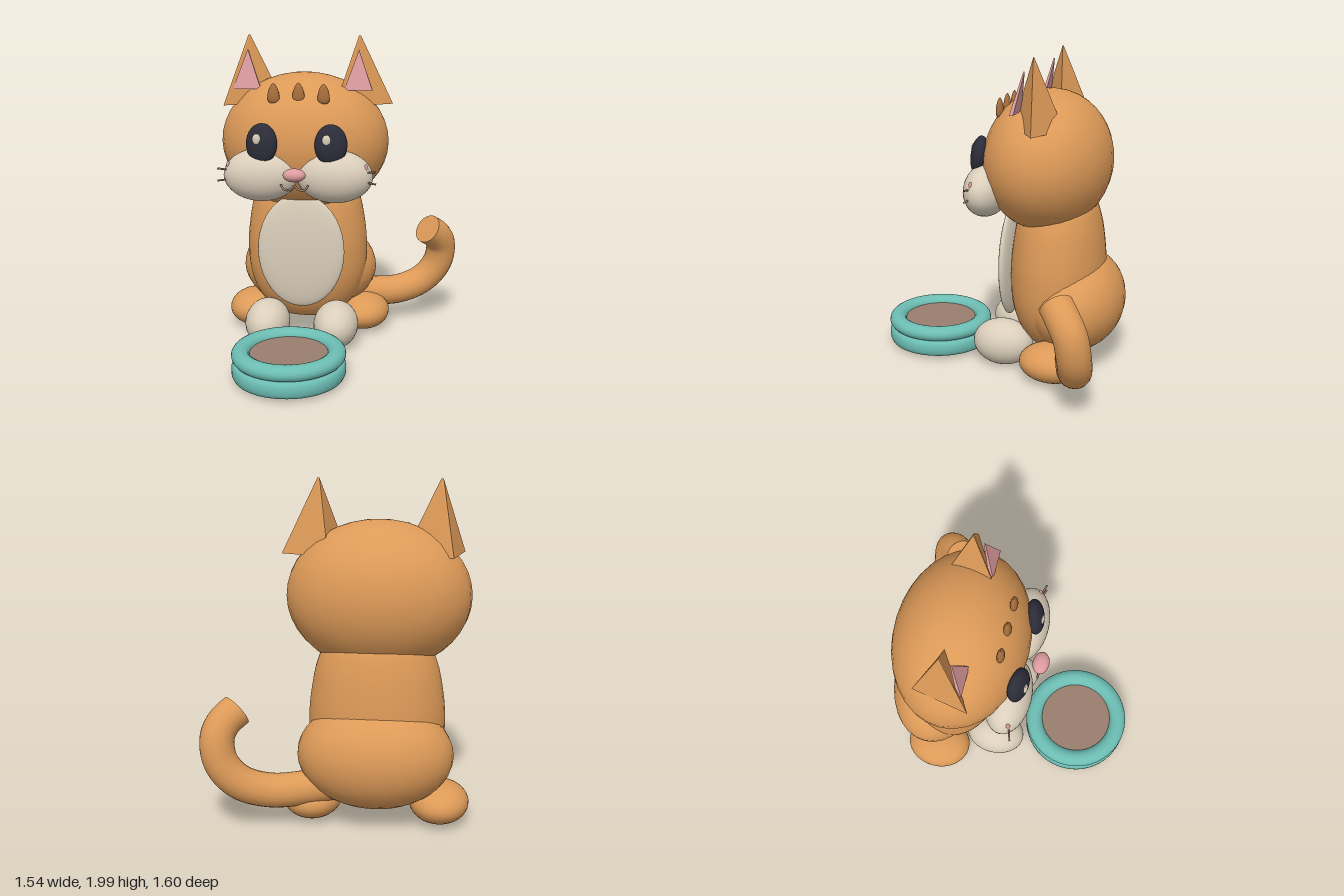
import * as THREE from 'three';
import { ConvexGeometry } from 'three/addons/geometries/ConvexGeometry.js';

const mat = (name, color) => {
  const m = new THREE.MeshStandardMaterial({ color });
  m.name = name;
  return m;
};
const V = (x, y, z) => new THREE.Vector3(x, y, z);

export function createModel() {
  const orange = mat('orange fur', 0xdd9a58);
  const cream = mat('cream fur', 0xdbcfbb);
  const pink = mat('pink skin', 0xdd9c9f);
  const dark = mat('dark eye', 0x2d2d3a);
  const teal = mat('teal bowl', 0x6cbdb3);
  const brown = mat('brown food', 0x9a7e6d);
  const stripe = mat('stripe brown', 0xa86f3c);

  const model = new THREE.Group();
  model.name = 'sittingCatWithBowl';
  // the cat sits off centre because of its tail; parts are placed from its own midline
  const cat = new THREE.Group();
  cat.name = 'cat';
  cat.position.x = -0.225;
  model.add(cat);

  const add = (name, geo, material, parent = cat) => {
    const m = new THREE.Mesh(geo, material);
    m.name = name;
    parent.add(m);
    return m;
  };
  const ball = (name, material, pos, radii, rot = [0, 0, 0], w = 32, h = 20) => {
    const m = add(name, new THREE.SphereGeometry(1, w, h), material);
    m.position.set(...pos);
    m.scale.set(...radii);
    m.rotation.set(...rot);
    return m;
  };
  const lathe = (pts, smooth, seg = 40) => {
    let p = pts.map(([x, y]) => new THREE.Vector2(x, y));
    if (smooth) p = new THREE.SplineCurve(p).getPoints(smooth).map(q => q.setX(Math.max(0, q.x)));
    return new THREE.LatheGeometry(p, seg);
  };
  const tube = (name, pts, r, material, seg = 12, sides = 8) =>
    add(name, new THREE.TubeGeometry(new THREE.CatmullRomCurve3(pts), seg, r, sides), material);

  // torso, hips, belly
  const torso = add('torso', lathe([[0, 0.12], [0.2, 0.15], [0.32, 0.26], [0.385, 0.42], [0.4, 0.6],
    [0.388, 0.77], [0.345, 0.97], [0.26, 1.1], [0, 1.15]], 32), orange);
  torso.scale.z = 0.75;
  torso.position.z = -0.37;
  ball('hips', orange, [0, 0.43, -0.49], [0.455, 0.32, 0.31]);
  ball('belly', cream, [0, 0.65, -0.06], [0.28, 0.375, 0.05]);

  // head
  ball('head', orange, [0, 1.33, -0.29], [0.54, 0.44, 0.4]);

  for (const s of [-1, 1]) {
    const side = s > 0 ? 'left' : 'right';
    ball(side + 'FrontPaw', cream, [s * 0.225, 0.157, -0.065], [0.145, 0.15, 0.195]);
    ball(side + 'HindFoot', orange, [s * 0.375, 0.13, -0.43], [0.175, 0.12, 0.21]);
    ball(side + 'Cheek', cream, [s * 0.23, 1.165, 0.04], [0.235, 0.165, 0.138]);
    ball(side + 'Eye', dark, [s * 0.213, 1.37, 0.095], [0.1, 0.125, 0.055], [-0.12, s * 0.2, 0]);
    ball(side + 'EyeGlint', cream, [s * 0.213 - 0.022, 1.405, 0.143], [0.027, 0.034, 0.012], [0, 0, 0], 10, 8);
    ball(side + 'Blush', pink, [s * 0.425, 1.225, 0.083], [0.014, 0.028, 0.014], [0, 0, 0], 10, 8);

    // whiskers
    [[1.195, 1.213], [1.147, 1.136]].forEach(([y0, y1], i) =>
      tube(side + 'Whisker' + (i + 1), [V(s * 0.38, y0, 0.075), V(s * 0.49, y1, 0.108)], 0.006, brown, 1, 6));

    // half of the smile
    tube(side + 'Mouth', [V(0, 1.135, 0.175), V(s * 0.018, 1.112, 0.175), V(s * 0.045, 1.103, 0.178),
      V(s * 0.07, 1.113, 0.176), V(s * 0.084, 1.138, 0.172)], 0.007, brown);

    // three-sided pointed ear with a pink inner panel
    const ear = new THREE.Group();
    ear.name = side + 'Ear';
    ear.position.set(s * 0.352, 0, -0.28);
    cat.add(ear);
    add(side + 'EarShell', new ConvexGeometry([V(-0.006, 2, 0), V(0.006, 2, 0),
      V(0.21, 1.57, -0.045), V(-0.142, 1.57, 0.16), V(-0.075, 1.57, -0.17)]), orange, ear);
    add(side + 'InnerEar', new ConvexGeometry([V(0, 1.915, 0.06), V(-0.088, 1.67, 0.118), V(0.09, 1.67, 0.118),
      V(0, 1.915, 0.052), V(-0.088, 1.67, 0.095), V(0.09, 1.67, 0.095)]), pink, ear);
  }
  ball('nose', pink, [0, 1.197, 0.183], [0.07, 0.041, 0.05], [0, 0, 0], 20, 14);

  // teardrop forehead marks
  for (const i of [-1, 0, 1]) {
    const m = add('foreheadMark', lathe([[0, -0.065], [0.03, -0.05], [0.038, -0.02], [0.03, 0.025],
      [0.014, 0.055], [0, 0.067]], 12, 14), stripe);
    m.scale.z = 0.6;
    m.position.set(i * 0.155, i ? 1.66 : 1.665, -0.016);
  }

  // tail with a flat cut end
  const path = [V(0.15, 0.27, -0.5), V(0.38, 0.23, -0.55), V(0.6, 0.225, -0.61), V(0.77, 0.29, -0.66),
    V(0.87, 0.41, -0.675), V(0.893, 0.55, -0.655), V(0.862, 0.63, -0.607), V(0.8, 0.685, -0.55)];
  const tail = tube('tail', path, 0.1, orange, 48, 20);
  const end = add('tailEnd', new THREE.CircleGeometry(0.1, 20), orange);
  end.position.copy(path[path.length - 1]);
  const dir = tail.geometry.parameters.path.getTangentAt(1);
  end.quaternion.setFromUnitVectors(V(0, 0, 1), dir);

  // food bowl: rounded base, rolled rim, food
  const bowl = new THREE.Group();
  bowl.name = 'foodBowl';
  bowl.position.set(-0.225, 0, 0.455);
  model.add(bowl);
  add('bowlBottom', new THREE.CircleGeometry(0.315, 48).rotateX(Math.PI / 2).translate(0, 0.022, 0), teal, bowl);
  add('bowlBase', lathe([[0.315, 0.022], [0.333, 0.03], [0.343, 0.05], [0.345, 0.075], [0.343, 0.1],
    [0.333, 0.12], [0.31, 0.13], [0.24, 0.13]], 0, 48), teal, bowl);
  const rim = add('bowlRim', new THREE.TorusGeometry(0.289, 0.056, 16, 48).rotateX(Math.PI / 2), teal, bowl);
  rim.scale.y = 0.85;
  rim.position.y = 0.168;
  add('food', new THREE.CylinderGeometry(0.245, 0.245, 0.04, 48).translate(0, 0.155, 0), brown, bowl);

  return model;
}
